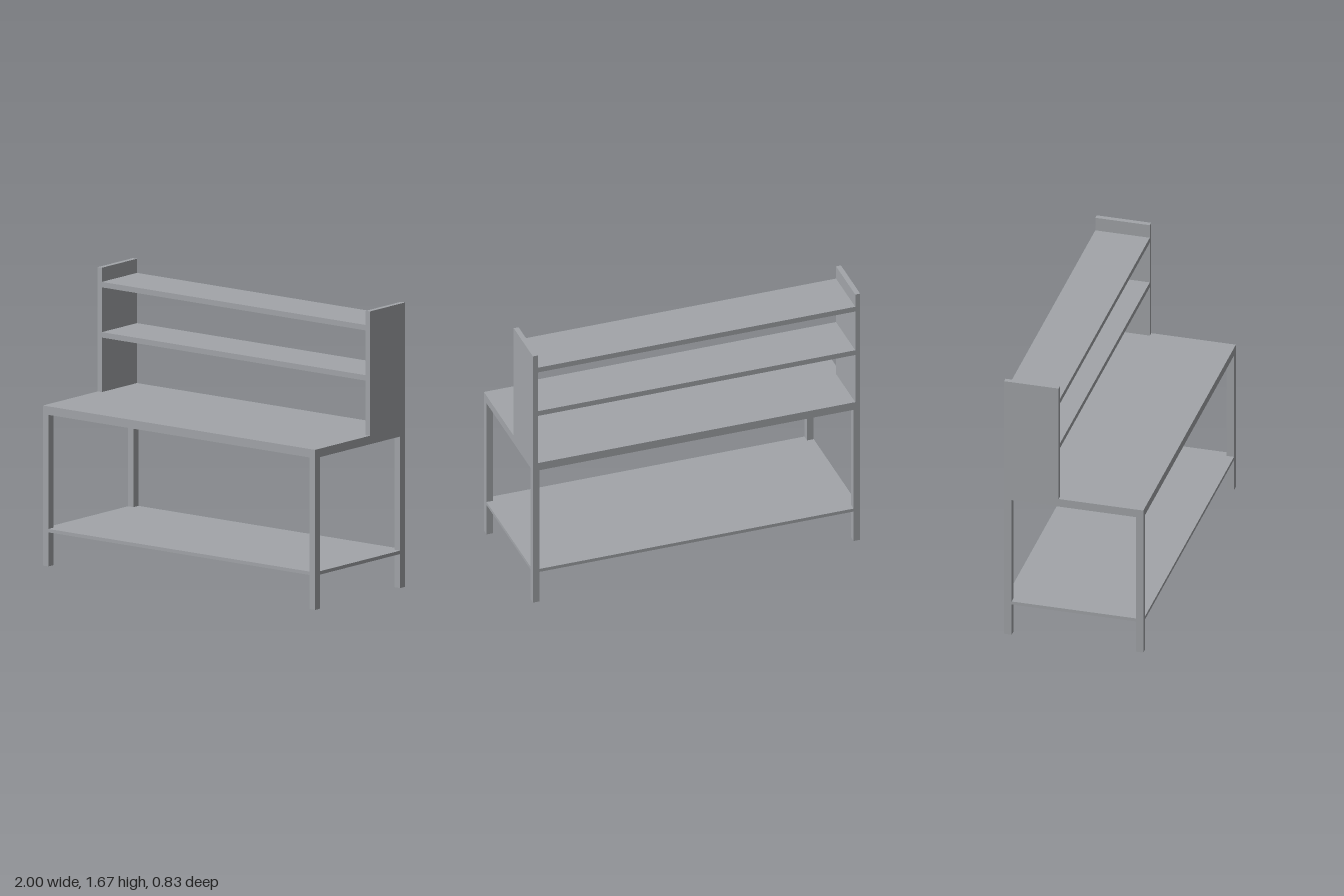
import * as THREE from 'three';

const W = 1, D = 0.415;          // half width and half depth
const LEG_X = 0.04, LEG_Z = 0.045;
const TOP_Y0 = 0.89, TOP_Y1 = 0.94;
const RACK_FRONT = -0.09, RACK_TOP = 1.67, PANEL = 0.03;

export function createModel() {
  const model = new THREE.Group();
  model.name = 'workbench';

  const steel = new THREE.MeshStandardMaterial({ color: 0xa2a5a9 });
  steel.name = 'grey steel';

  // Box given by its lower and upper corners
  function box(name, [x0, y0, z0], [x1, y1, z1]) {
    const mesh = new THREE.Mesh(new THREE.BoxGeometry(x1 - x0, y1 - y0, z1 - z0), steel);
    mesh.position.set((x0 + x1) / 2, (y0 + y1) / 2, (z0 + z1) / 2);
    mesh.name = name;
    model.add(mesh);
  }

  // Worktop
  box('worktop', [-W, TOP_Y0, -D], [W, TOP_Y1, D]);

  for (const [side, s] of [['left', 1], ['right', -1]]) {
    // Legs
    const x0 = s > 0 ? W - LEG_X : -W;
    box(side + 'FrontLeg', [x0, 0, D - LEG_Z], [x0 + LEG_X, TOP_Y0, D]);
    box(side + 'BackLeg', [x0, 0, -D], [x0 + LEG_X, TOP_Y0, -D + LEG_Z]);

    // Upright panels of the rack
    const p0 = s > 0 ? W - PANEL : -W;
    box(side + 'Panel', [p0, TOP_Y1, -D], [p0 + PANEL, RACK_TOP, RACK_FRONT]);
  }

  // Rack shelves between the panels
  [['middleShelf', 1.26], ['upperShelf', 1.555]].forEach(([name, y]) =>
    box(name, [-W + PANEL, y, -D], [W - PANEL, y + 0.032, RACK_FRONT]));

  // Lower shelf, flush with the frame and notched around the legs
  const ix = W - LEG_X, iz = D - LEG_Z;
  const outline = new THREE.Shape([
    [ix, -D], [ix, -iz], [W, -iz], [W, iz], [ix, iz], [ix, D],
    [-ix, D], [-ix, iz], [-W, iz], [-W, -iz], [-ix, -iz], [-ix, -D],
  ].map(([x, z]) => new THREE.Vector2(x, z)));
  const plate = new THREE.ExtrudeGeometry(outline, { depth: 0.02, bevelEnabled: false });
  plate.rotateX(-Math.PI / 2);
  const lowerShelf = new THREE.Mesh(plate, steel);
  lowerShelf.position.y = 0.2;
  lowerShelf.name = 'lowerShelf';
  model.add(lowerShelf);

  return model;
}
